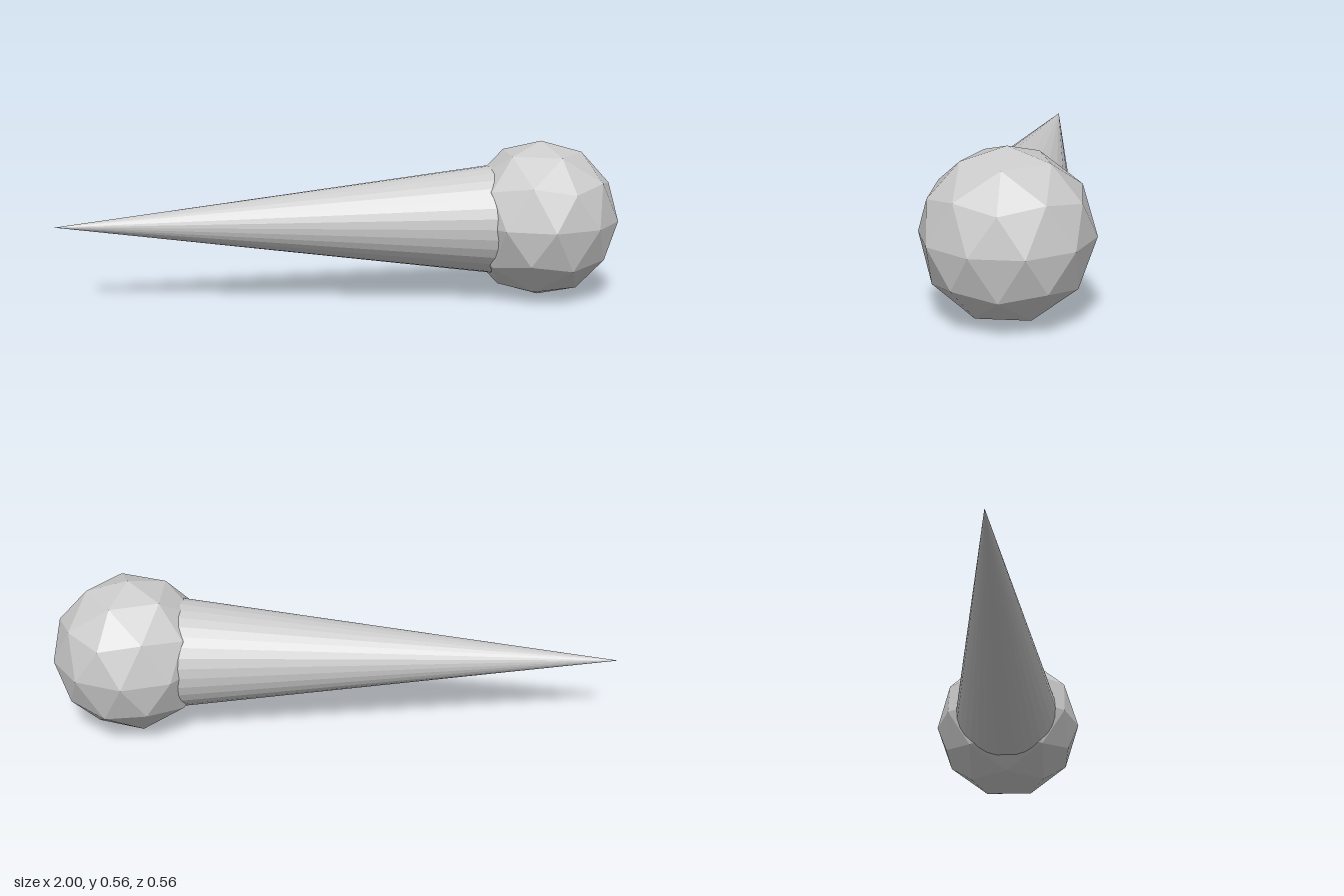
import * as THREE from 'three';

export function createModel() {
  const group = new THREE.Group();
  const material = new THREE.MeshStandardMaterial({ color: 0xcccccc, flatShading: true });
  const radius = 0.282;
  const ballX = 0.732;

  const add = (name, geometry, x) => {
    const mesh = new THREE.Mesh(geometry, material);
    mesh.name = name;
    mesh.position.set(x, radius, 0);
    group.add(mesh);
  };

  // Faceted ball, turned so that one corner points straight up
  const golden = (1 + Math.sqrt(5)) / 2;
  const ball = new THREE.IcosahedronGeometry(radius, 1);
  ball.rotateZ(-Math.atan(1 / golden));
  add('ball', ball, ballX);

  // Long cone with its tip at -x and its base hidden inside the ball
  const length = 1 + ballX;
  const cone = new THREE.ConeGeometry(0.125 * length, length, 32);
  cone.rotateZ(Math.PI / 2);
  add('cone', cone, -1 + length / 2);

  return group;
}
